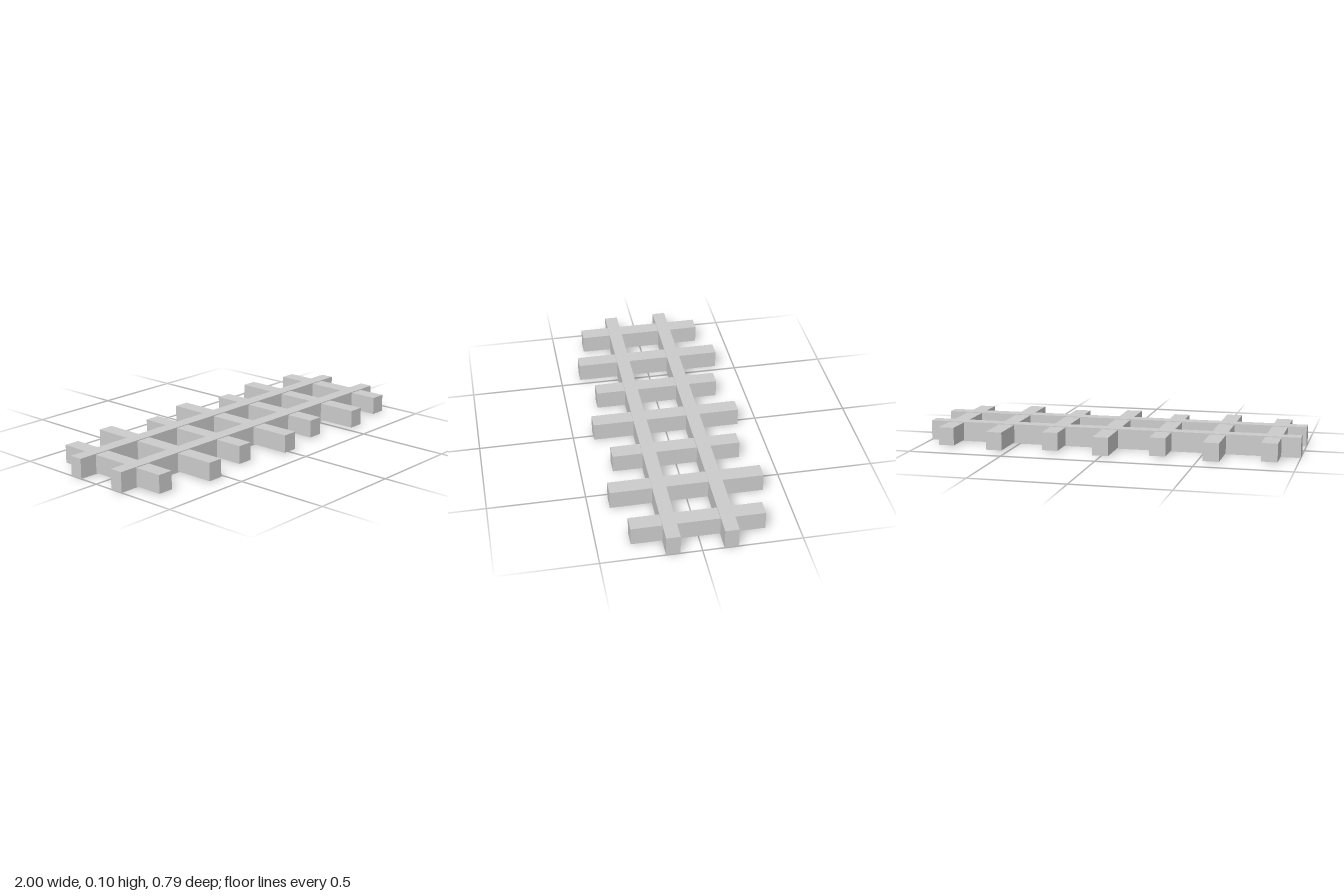
import * as THREE from 'three';

const material = new THREE.MeshStandardMaterial({ color: 0xcccccc, flatShading: true });

function beam(name, size, position) {
  const mesh = new THREE.Mesh(new THREE.BoxGeometry(...size), material);
  mesh.name = name;
  mesh.position.set(...position);
  return mesh;
}

export function createModel() {
  const group = new THREE.Group();
  group.name = 'slattedFrame';

  // Two long rails, slightly taller than the crosspieces
  for (const side of [-1, 1]) {
    const name = side > 0 ? 'frontRail' : 'backRail';
    group.add(beam(name, [2, 0.105, 0.071], [0, 0.0525, side * 0.1435]));
  }

  // Seven crosspieces, alternating short and long
  for (let i = -3; i <= 3; i++) {
    const long = i % 2 === 0;
    const name = (long ? 'longCrosspiece' : 'shortCrosspiece') + (i + 4);
    group.add(beam(name, [0.084, 0.095, long ? 0.786 : 0.668], [i * 0.286, 0.0535, 0]));
  }

  return group;
}
